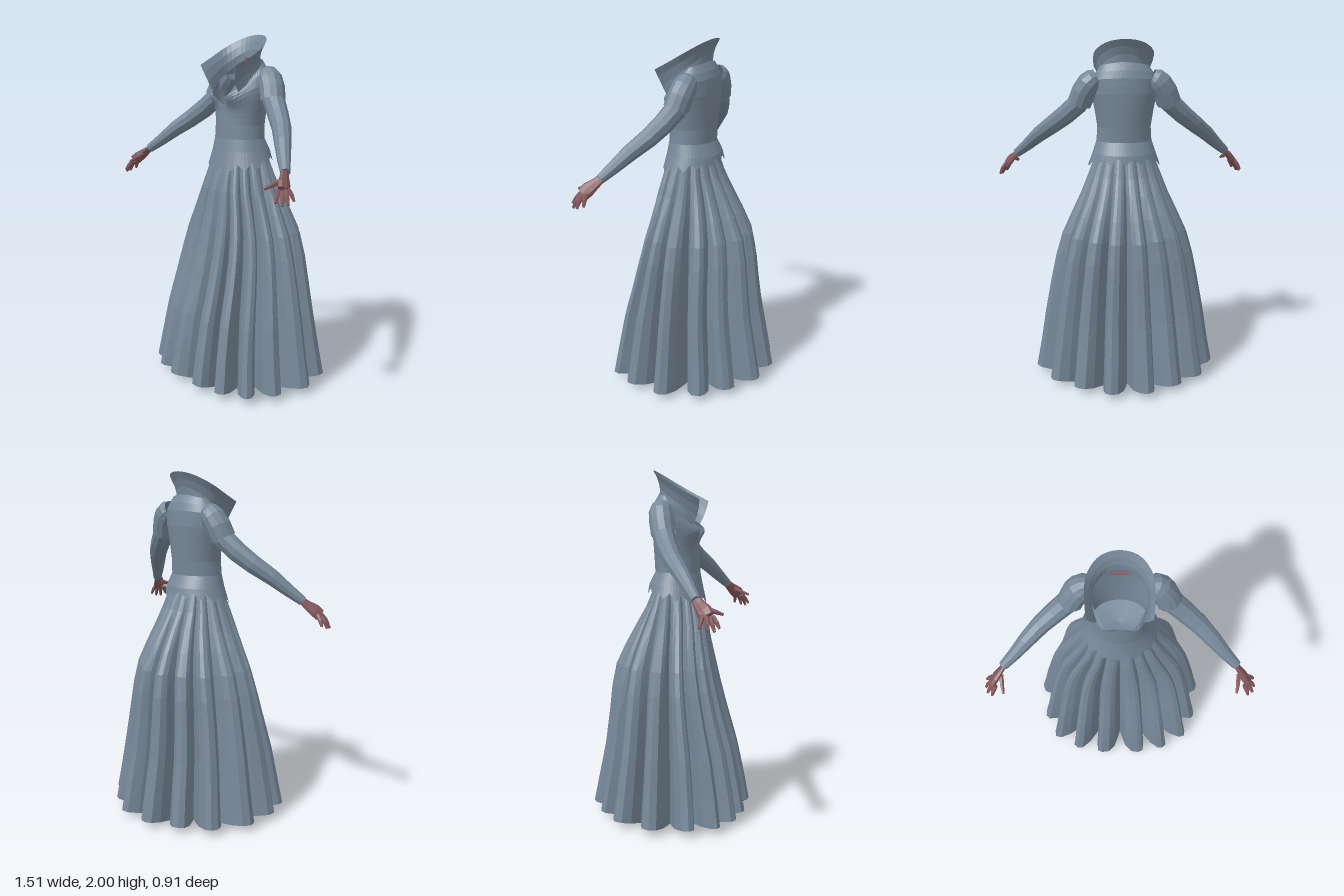
import * as THREE from 'three';

const cloth = new THREE.MeshStandardMaterial({ color: 0x778899, flatShading: true, side: THREE.DoubleSide });
cloth.name = 'slate cloth';
const skin = new THREE.MeshStandardMaterial({ color: 0x85595d, flatShading: true, side: THREE.DoubleSide });
skin.name = 'dusky skin';

const V = (x, y, z) => new THREE.Vector3(x, y, z);
const lerp = THREE.MathUtils.lerp;

// Interpolates column c of a table whose first column rises
function look(table, t, c = 1) {
  if (t <= table[0][0]) return table[0][c];
  for (let i = 1; i < table.length; i++) {
    const [a, b] = [table[i - 1], table[i]];
    if (t <= b[0]) return lerp(a[c], b[c], (t - a[0]) / (b[0] - a[0]));
  }
  return table[table.length - 1][c];
}

// Surface through rings of points; a closed ring joins its last point to its first
function loft(rings, closed = true, caps = false) {
  const n = rings[0].length, pos = [], idx = [];
  rings.forEach(r => r.forEach(p => pos.push(p.x, p.y, p.z)));
  for (let j = 0; j < rings.length - 1; j++) {
    for (let i = 0; i < (closed ? n : n - 1); i++) {
      const a = j * n + i, b = j * n + (i + 1) % n;
      idx.push(a, b, b + n, a, b + n, a + n);
    }
  }
  if (caps) {
    const end = (rings.length - 1) * n;
    for (let i = 1; i < n - 1; i++) idx.push(0, i + 1, i, end, end + i, end + i + 1);
  }
  const g = new THREE.BufferGeometry();
  g.setAttribute('position', new THREE.Float32BufferAttribute(pos, 3));
  g.setIndex(idx);
  g.computeVertexNormals();
  return g;
}

// Tapered tube along [x, y, z, radius] stations, mirrored by s
function limb(stations, s, sides = 10, caps = true, flat = 1) {
  const pts = stations.map(p => V(p[0] * s, p[1], p[2]));
  return loft(pts.map((p, i) => {
    const dir = pts[Math.min(i + 1, pts.length - 1)].clone().sub(pts[Math.max(i - 1, 0)]).normalize();
    const u = V(0.1 * s, 0.3, 1).cross(dir).normalize(), v = dir.clone().cross(u);
    return Array.from({ length: sides }, (_, k) => {
      const a = k / sides * Math.PI * 2, r = stations[i][3];
      return p.clone().addScaledVector(u, Math.cos(a) * r * flat).addScaledVector(v, Math.sin(a) * r);
    });
  }), true, caps);
}

function makeSkirt() {
  // Height, half width, front depth, back depth
  const shape = [
    [0.04, 0.537, 0.458, 0.457], [0.2, 0.507, 0.428, 0.425], [0.4, 0.475, 0.385, 0.385],
    [0.6, 0.437, 0.325, 0.36], [0.75, 0.405, 0.285, 0.345], [0.88, 0.367, 0.255, 0.32],
    [1.0, 0.312, 0.23, 0.265], [1.12, 0.255, 0.21, 0.2], [1.22, 0.215, 0.185, 0.145], [1.33, 0.172, 0.155, 0.1]
  ];
  // Pleat crests of one side, front to back, as fractions of the half width and depth
  const half = [[0.23, 0.99], [0.54, 0.92], [0.82, 0.74], [0.95, 0.42], [1, -0.06], [0.82, -0.53], [0.54, -0.79], [0.2, -1]];
  const crests = [...half, ...half.slice().reverse().map(([x, z]) => [-x, z])];
  const per = 8;
  const rings = shape.map(([y, rx, zf, zb], row) => {
    const depth = look([[0, 0.42], [0.6, 0.34], [1.0, 0.2], [1.33, 0.07]], y);
    const ring = [];
    crests.forEach((c, i) => {
      const d = crests[(i + 1) % crests.length];
      for (let k = 0; k < per; k++) {
        // Blunt crests with narrow, deep valleys
        const t = k / per, fold = Math.sin(Math.PI * t) ** 3.4;
        const f = t + 0.085 * Math.sin(2 * Math.PI * t);
        const m = 1 - depth * fold * (0.85 + 0.3 * ((i * 7) % 5) / 4);
        const x = lerp(c[0], d[0], f) * m, z = lerp(c[1], d[1], f) * m;
        ring.push(V(x * rx, y - (row ? 0 : 0.04 * fold), z * (z > 0 ? zf : zb)));
      }
    });
    return ring;
  });
  return loft(rings);
}

// Bodice cross-sections: height, half width, front z, back z
const torso = [
  [1.25, 0.22, 0.2, -0.15], [1.35, 0.183, 0.178, -0.13], [1.42, 0.16, 0.165, -0.095], [1.5, 0.155, 0.162, -0.1],
  [1.6, 0.17, 0.155, -0.107], [1.7, 0.19, 0.135, -0.112], [1.78, 0.185, 0.1, -0.108], [1.84, 0.145, 0.06, -0.088], [1.88, 0.11, 0.04, -0.06]
];
function torsoPoint(a, y) {
  const rx = look(torso, y, 1), zf = look(torso, y, 2), zb = look(torso, y, 3), mid = (zf + zb) / 2;
  const p = V(rx * Math.sin(a), y, mid + (zf - zb) / 2 * Math.cos(a));
  if (Math.cos(a) > 0) {
    const dx = (Math.abs(p.x) - 0.085) / 0.06, dy = (y - 1.66) / 0.05;
    p.z += 0.05 * Math.exp(-dx * dx - dy * dy);
  }
  return p;
}

function makeBodice() {
  const neckline = [[0, 1.61], [0.3, 1.655], [0.7, 1.72], [1.0, 1.79], [1.57, 1.85], [Math.PI, 1.875]];
  const n = 56;
  const ring = height => Array.from({ length: n }, (_, i) => {
    const a = i / n * Math.PI * 2, fromFront = Math.min(a, Math.PI * 2 - a);
    return torsoPoint(a, height(i, a, look(neckline, fromFront)));
  });
  return loft([
    // Toothed hem, level waist, then rows rising to the neckline
    ring((i, a) => 1.275 - 0.018 * Math.abs((i % 4) - 2) + 0.06 * (1 - Math.cos(a)) / 2),
    ...[1.35, 1.385, 1.42, 1.46, 1.5, 1.54, 1.57].map(y => ring(() => y)),
    ...[1, 2, 3, 4, 5, 6, 7].map(k => ring((i, a, top) => lerp(1.57, top, k / 7)))
  ]);
}

function makeCollar() {
  const low = [[0.118, 1.685, 0.14], [0.138, 1.735, 0.08], [0.135, 1.79, 0.01], [0.08, 1.85, -0.05], [0, 1.872, -0.065]];
  const high = [[0.168, 1.83, 0.187], [0.173, 1.875, 0.1], [0.165, 1.932, 0], [0.1, 1.983, -0.08], [0, 2.0, -0.105]];
  const curve = half => new THREE.CatmullRomCurve3(
    [...half, ...half.slice(0, -1).reverse().map(([x, y, z]) => [-x, y, z])].map(p => V(...p))).getPoints(28);
  const a = curve(low), b = curve(high);
  // Flares outward towards the upper edge
  return loft([0, 0.35, 0.7, 1].map(t => a.map((p, i) => {
    const q = p.clone().lerp(b[i], t), sag = 0.012 * Math.sin(Math.PI * t);
    return q.add(V(-Math.sign(q.x) * Math.min(Math.abs(q.x), sag), 0, sag * 0.8));
  })), false);
}

export function createModel() {
  const model = new THREE.Group();
  model.name = 'gown';
  const add = (name, geometry, material = cloth, parent = model) => {
    const m = new THREE.Mesh(geometry, material);
    m.name = name;
    parent.add(m);
    return m;
  };

  add('pleatedSkirt', makeSkirt());
  add('bodice', makeBodice());
  add('standingCollar', makeCollar());

  // Closes the waist inside the bodice
  const waist = Array.from({ length: 56 }, (_, i) => torsoPoint(i / 56 * Math.PI * 2, 1.42));
  add('waistLining', loft([waist, waist.map(() => V(0, 1.4, 0.035))]));

  // Sliver of skin at the nape
  const nape = add('nape', new THREE.BoxGeometry(0.09, 0.008, 0.012), skin);
  nape.position.set(0, 1.868, -0.045);

  for (const s of [1, -1]) {
    const side = s > 0 ? 'left' : 'right';

    // Short puffed sleeve over a long fitted one
    add(side + 'PuffSleeve', limb([
      [0.155, 1.785, -0.025, 0.048], [0.175, 1.775, -0.025, 0.062], [0.2, 1.752, -0.022, 0.07],
      [0.23, 1.705, -0.012, 0.072], [0.256, 1.64, 0.003, 0.071]
    ], s, 12, false));
    add(side + 'Sleeve', limb([
      [0.22, 1.71, -0.015, 0.06], [0.265, 1.635, 0.003, 0.061], [0.335, 1.57, 0.035, 0.058], [0.415, 1.505, 0.08, 0.053],
      [0.5, 1.435, 0.145, 0.046], [0.57, 1.367, 0.2, 0.036], [0.635, 1.31, 0.247, 0.027]
    ], s));

    // Hand with spread fingers
    const hand = new THREE.Group();
    hand.name = side + 'Hand';
    model.add(hand);
    add('palm', limb([
      [0.625, 1.318, 0.24, 0.024], [0.65, 1.29, 0.265, 0.031], [0.68, 1.26, 0.295, 0.042], [0.7, 1.235, 0.315, 0.04]
    ], s, 8, true, 0.5), skin, hand);
    const fingers = [
      [[0.685, 1.235, 0.34], [0.7, 1.205, 0.362], [0.71, 1.178, 0.378]],
      [[0.698, 1.23, 0.326], [0.722, 1.195, 0.344], [0.737, 1.163, 0.357]],
      [[0.705, 1.235, 0.308], [0.732, 1.2, 0.32], [0.747, 1.165, 0.325]],
      [[0.705, 1.24, 0.29], [0.728, 1.21, 0.287], [0.743, 1.18, 0.283]],
      [[0.65, 1.275, 0.29], [0.645, 1.255, 0.345], [0.638, 1.24, 0.388]]
    ];
    fingers.forEach((f, i) => add(i < 4 ? 'finger' : 'thumb',
      limb(f.map((p, k) => [...p, [0.013, 0.012, 0.007][k]]), s, 6), skin, hand));

    // Leg and boot under the skirt, one foot ahead of the other
    const [x, z] = s > 0 ? [0.23, -0.09] : [0.14, 0.05];
    add(side + 'Leg', limb([
      [0.08, 1.2, 0.02, 0.07], [lerp(0.08, x, 0.5), 0.65, z * 0.6, 0.06], [x - 0.02, 0.35, z - 0.01, 0.052], [x, 0.11, z - 0.01, 0.038]
    ], s));
    add(side + 'Boot', limb([
      [x - 0.002, 0.09, z - 0.06, 0.032], [x + 0.002, 0.095, z - 0.01, 0.04],
      [x + 0.01, 0.075, z + 0.06, 0.04], [x + 0.02, 0.06, z + 0.14, 0.022]
    ], s, 8));
    const heel = add(side + 'Heel', new THREE.CylinderGeometry(0.024, 0.016, 0.06, 8));
    heel.position.set(x * s, 0.06, z - 0.05);
  }
  return model;
}
